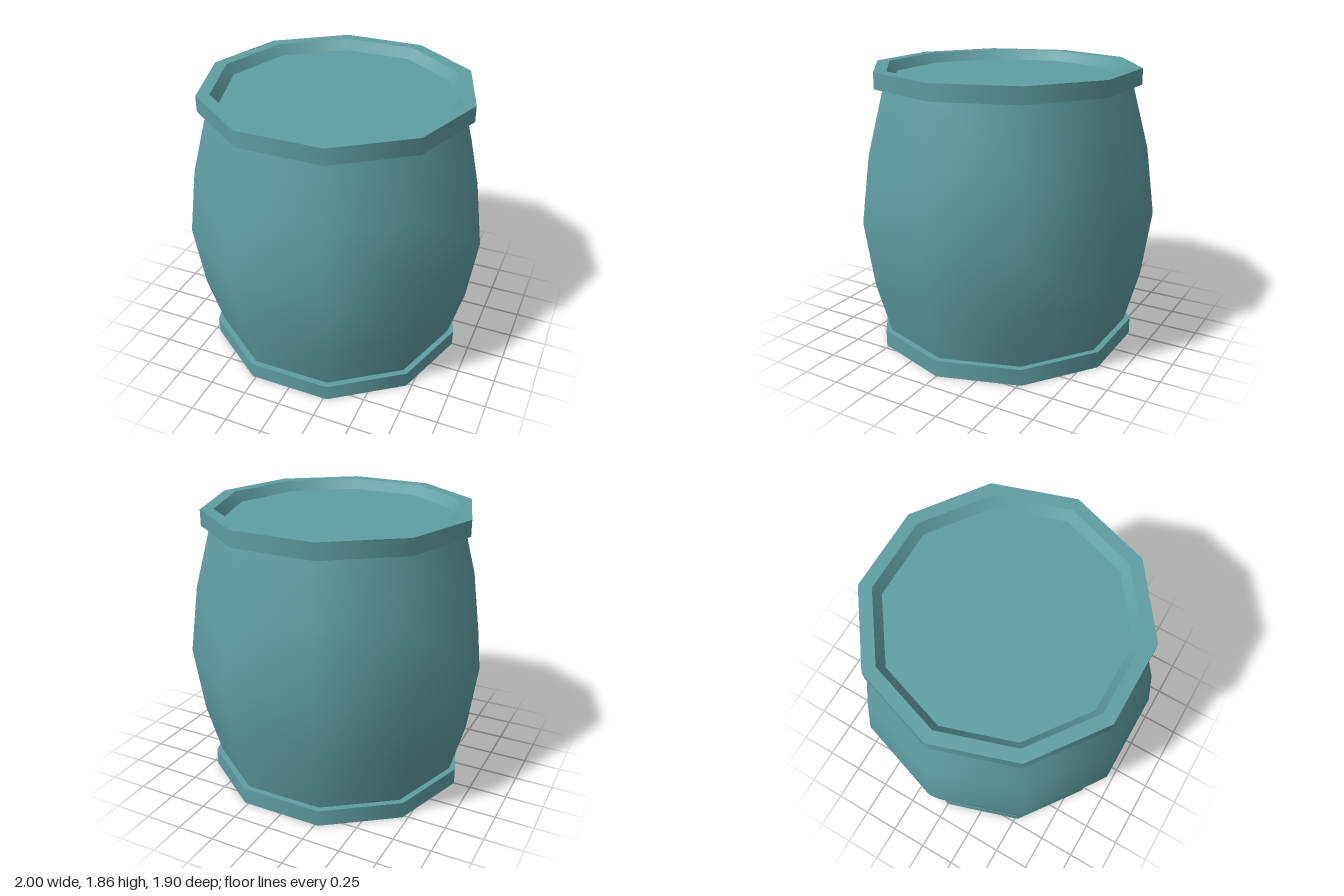
import * as THREE from 'three';
import { mergeGeometries } from 'three/addons/utils/BufferGeometryUtils.js';

const SIDES = 10;
const HEIGHT = 1.855;

// Ten-sided lathe with a corner on the x axis
function lathe(points) {
  const profile = points.map(([r, y]) => new THREE.Vector2(r, y));
  return new THREE.LatheGeometry(profile, SIDES, Math.PI / 2);
}

// One lathe per profile segment: smooth around, sharp between segments
function sharpLathe(points) {
  return mergeGeometries(points.slice(1).map((p, i) => lathe([points[i], p])));
}

export function createModel() {
  const model = new THREE.Group();
  model.name = 'barrel';
  const material = new THREE.MeshStandardMaterial({ color: 0x5f9ea0 });

  const add = (name, geometry) => {
    const mesh = new THREE.Mesh(geometry, material);
    mesh.name = name;
    model.add(mesh);
  };

  // Bulging smooth wall
  add('body', lathe([[0.845, 0.11], [0.94, 0.46], [1, 0.9], [0.94, 1.34], [0.83, 1.75]]));

  // Projecting hoops, with a sloped inner lip
  add('topRim', sharpLathe([
    [0.83, 1.75], [0.885, 1.75], [0.885, HEIGHT], [0.8, HEIGHT], [0.75, 1.79],
  ]));
  add('bottomRim', sharpLathe([
    [0.75, 0.065], [0.8, 0], [0.885, 0], [0.885, 0.11], [0.845, 0.11],
  ]));

  // Recessed flat ends
  add('lid', lathe([[0.75, 1.79], [0, 1.79]]));
  add('base', lathe([[0, 0.065], [0.75, 0.065]]));

  return model;
}
